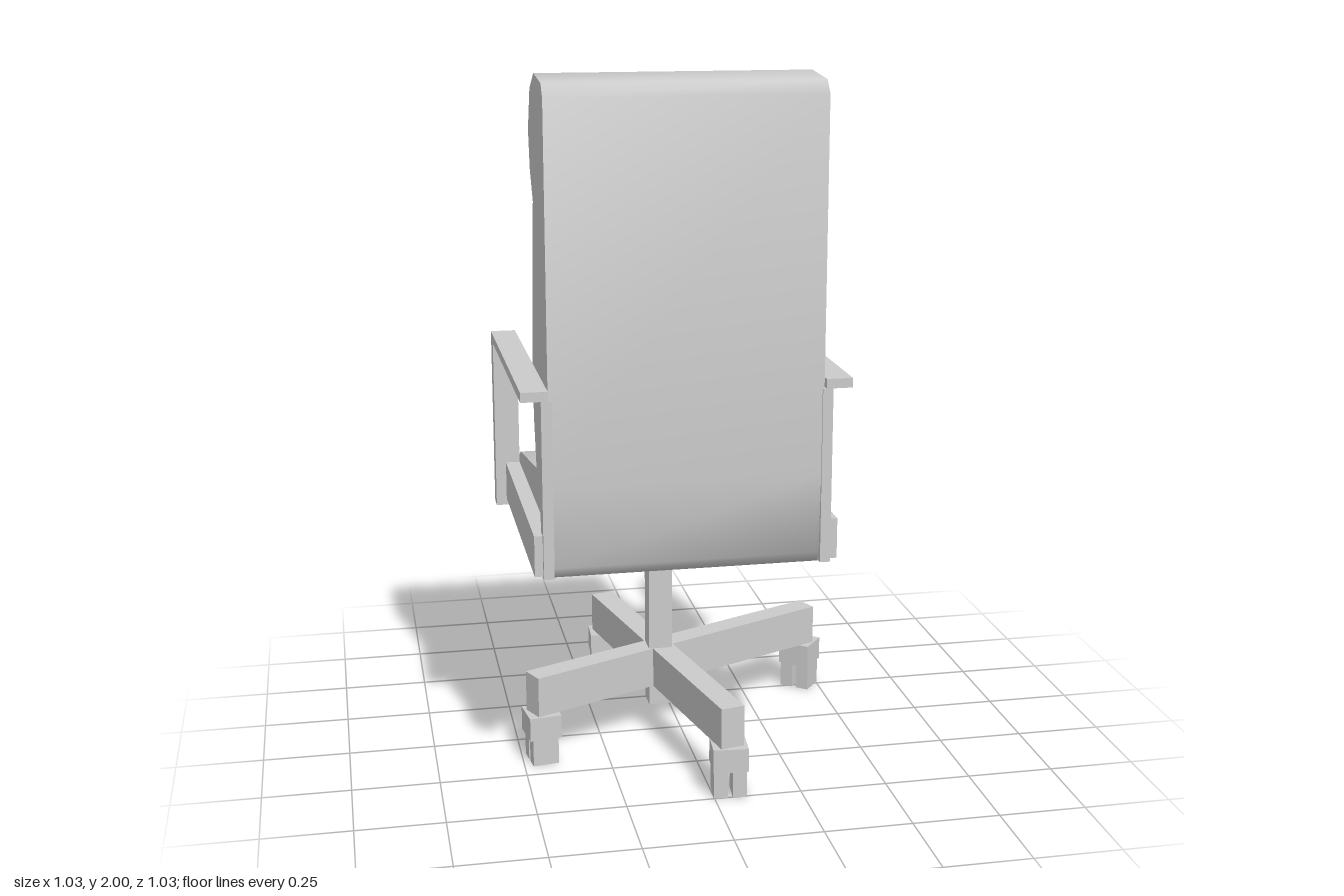
import * as THREE from 'three';
import { toCreasedNormals } from 'three/addons/utils/BufferGeometryUtils.js';

const grey = new THREE.MeshStandardMaterial({ color: 0xcccccc });

// Box given by its min and max on each axis
function box(parent, name, [x0, x1], [y0, y1], [z0, z1]) {
  const mesh = new THREE.Mesh(new THREE.BoxGeometry(x1 - x0, y1 - y0, z1 - z0), grey);
  mesh.position.set((x0 + x1) / 2, (y0 + y1) / 2, (z0 + z1) / 2);
  mesh.name = name;
  parent.add(mesh);
  return mesh;
}

// Seat and backrest: one side profile (z, y) extruded across the width
function createSeat() {
  const profile = [
    [0.45, 0.92], [0.45, 1.95], [0.42, 1.985], [0.265, 2.0], [0.17, 1.955], [0.115, 1.84],
    [0.14, 1.735], [0.197, 1.655], [0.107, 1.19], [0.122, 1.03], [0.16, 0.895],
    [-0.255, 0.83], [-0.39, 0.77], [-0.45, 0.725], [-0.505, 0.62],
    [0.1, 0.62], [0.41, 0.655], [0.44, 0.69],
  ];
  const shape = new THREE.Shape(profile.map(([z, y]) => new THREE.Vector2(z, y)));
  const extruded = new THREE.ExtrudeGeometry(shape, { depth: 0.755, bevelEnabled: false });
  extruded.rotateY(-Math.PI / 2).translate(0.31, 0, 0);
  const mesh = new THREE.Mesh(toCreasedNormals(extruded, 0.85), grey);
  mesh.name = 'seatAndBackrest';
  return mesh;
}

// Armrest frame; side is +1 or -1, offsets are measured from the seat centre line
function createArmrest(side) {
  const arm = new THREE.Group();
  arm.name = side > 0 ? 'leftArmrest' : 'rightArmrest';
  const centre = -0.065;
  const span = (a, b) => (side > 0 ? [centre + a, centre + b] : [centre - b, centre - a]);
  box(arm, 'armPad', span(0.38, 0.453), [1.16, 1.187], [-0.3, 0.455]);
  box(arm, 'frontPost', span(0.38, 0.453), [0.65, 1.187], [-0.353, -0.3]);
  box(arm, 'rearPost', span(0.37, 0.399), [0.665, 1.16], [0.403, 0.455]);
  box(arm, 'sideRail', span(0.37, 0.422), [0.67, 0.785], [-0.3, 0.44]);
  return arm;
}

// Caster: a square housing over two narrow wheels
function createCaster(x, z, degrees) {
  const caster = new THREE.Group();
  caster.name = 'caster';
  box(caster, 'casterHousing', [-0.05, 0.05], [0.08, 0.15], [-0.047, 0.047]);
  for (const s of [-1, 1]) {
    const wheel = box(caster, 'casterWheel', [-0.02, 0.02], [0, 0.08], [-0.038, 0.038]);
    wheel.position.x = s * 0.027;
  }
  caster.position.set(x, 0, z);
  caster.rotation.y = THREE.MathUtils.degToRad(degrees);
  return caster;
}

// Straight base bar between two floor points
function createBaseBar([x0, z0], [x1, z1]) {
  const length = Math.hypot(x1 - x0, z1 - z0);
  const bar = new THREE.Mesh(new THREE.BoxGeometry(length, 0.12, 0.07), grey);
  bar.position.set((x0 + x1) / 2, 0.21, (z0 + z1) / 2);
  bar.rotation.y = -Math.atan2(z1 - z0, x1 - x0);
  bar.name = 'baseBar';
  return bar;
}

export function createModel() {
  const chair = new THREE.Group();
  chair.name = 'officeChair';
  chair.add(createSeat(), createArmrest(1), createArmrest(-1));

  // Central column and crossed base
  box(chair, 'column', [-0.1, -0.03], [0.09, 0.63], [-0.05, 0.02]);
  chair.add(createBaseBar([-0.47, 0.157], [0.465, -0.267]));
  chair.add(createBaseBar([-0.165, -0.493], [0.052, 0.497]));

  // Casters, each swivelled its own way
  for (const [x, z, turn] of [
    [0.443, -0.262, -38.7], [0.048, 0.465, -5], [-0.16, -0.468, -3], [-0.443, 0.143, -82],
  ]) chair.add(createCaster(x, z, turn));

  return chair;
}
